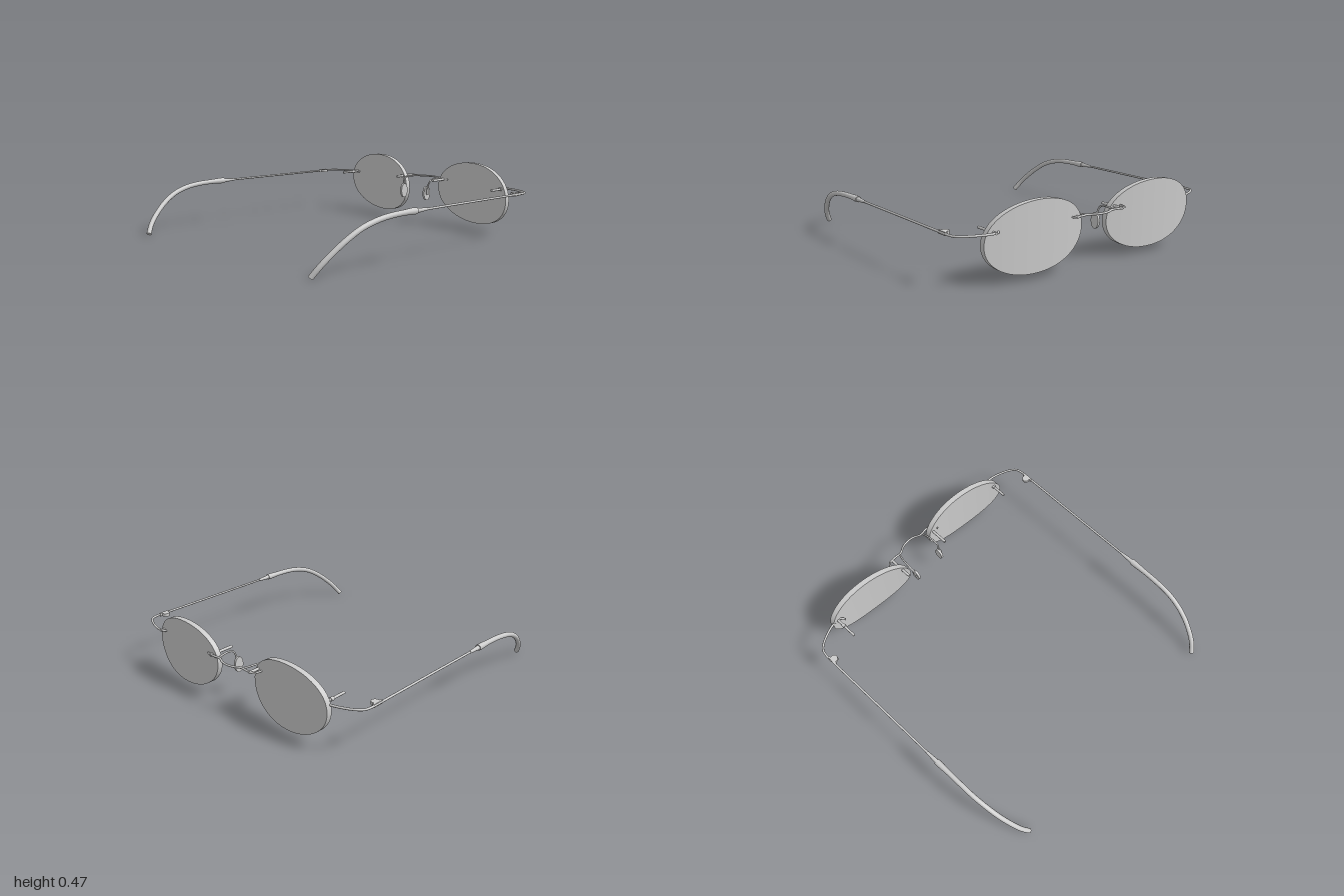
import * as THREE from 'three';
import { mergeGeometries, toCreasedNormals } from 'three/addons/utils/BufferGeometryUtils.js';

const material = new THREE.MeshStandardMaterial({ color: 0xcccccc });

function part(name, geometry, parent) {
  const mesh = new THREE.Mesh(geometry, material);
  mesh.name = name;
  parent.add(mesh);
  return mesh;
}

// Capped round sweep through points; radius is a number or a function of t (0..1)
function sweep(points, radius, segments = 32, sides = 10) {
  const path = new THREE.CatmullRomCurve3(points.map((p) => new THREE.Vector3(...p)), false, 'centripetal');
  const r = typeof radius === 'number' ? () => radius : radius;
  const tube = new THREE.TubeGeometry(path, segments, 1, sides, false);
  const pos = tube.attributes.position;
  const v = new THREE.Vector3();
  for (let i = 0; i <= segments; i++) {
    const centre = path.getPointAt(i / segments);
    for (let j = 0; j <= sides; j++) {
      const k = i * (sides + 1) + j;
      v.fromBufferAttribute(pos, k).sub(centre).multiplyScalar(r(i / segments)).add(centre);
      pos.setXYZ(k, v.x, v.y, v.z);
    }
  }
  const caps = [0, 1].map((t) => {
    const out = path.getTangentAt(t).multiplyScalar(t ? 1 : -1);
    const cap = new THREE.CircleGeometry(r(t), sides);
    cap.applyQuaternion(new THREE.Quaternion().setFromUnitVectors(new THREE.Vector3(0, 0, 1), out));
    const c = path.getPointAt(t);
    return cap.translate(c.x, c.y, c.z);
  });
  return mergeGeometries([tube, ...caps]);
}

// Oval lens bent along x, built as vertical columns
function lensGeometry() {
  const columns = 48, halfWidth = 0.332, thickness = 0.037, n = 2.1;
  const rows = [];
  for (let i = 0; i <= columns; i++) {
    const c = -Math.cos((Math.PI * i) / columns);
    const u = halfWidth * c;
    const mid = 0.262 - 0.06 * u;
    const h = 0.216 * Math.pow(Math.max(0, 1 - Math.pow(Math.abs(c), n)), 1 / n);
    const back = -0.955 + 0.25 * (u + 0.2) ** 2;
    const front = back + thickness;
    // Corners run counter-clockwise seen from -x
    rows.push([[u, mid - h, back], [u, mid - h, front], [u, mid + h, front], [u, mid + h, back]]);
  }
  const data = [];
  for (let i = 0; i < columns; i++) {
    for (let k = 0; k < 4; k++) {
      const m = (k + 1) % 4;
      const a = rows[i][k], b = rows[i + 1][k], c = rows[i + 1][m], d = rows[i][m];
      data.push(...a, ...b, ...c, ...a, ...c, ...d);
    }
  }
  const g = new THREE.BufferGeometry();
  g.setAttribute('position', new THREE.Float32BufferAttribute(data, 3));
  return toCreasedNormals(g, 0.6);
}

export function createModel() {
  const model = new THREE.Group();
  model.name = 'eyeglasses';

  // Lenses: same shape on both sides
  for (const [name, x] of [['rightLens', -0.46], ['leftLens', 0.468]]) {
    part(name, lensGeometry(), model).position.x = x;
  }

  // Arched bridge wire
  part('bridge', sweep([
    [-0.2, 0.338, -0.962], [-0.15, 0.338, -0.966], [-0.1, 0.338, -0.962], [-0.05, 0.338, -0.985], [0, 0.338, -0.993],
    [0.05, 0.338, -0.985], [0.1, 0.338, -0.962], [0.15, 0.338, -0.966], [0.2, 0.338, -0.962],
  ], 0.007, 48), model);

  for (const s of [1, -1]) {
    const side = new THREE.Group();
    side.name = s > 0 ? 'leftSide' : 'rightSide';
    model.add(side);
    const mirror = (pts) => pts.map(([x, y, z]) => [s * x, y, z]);

    // Inner pin and clip hooking over the lens edge
    part('bridgePin', sweep(mirror([[0.18, 0.336, -0.97], [0.18, 0.336, -0.795]]), 0.0095, 1), side);
    part('bridgeClip', sweep(mirror([
      [0.18, 0.338, -0.966], [0.207, 0.338, -0.962], [0.217, 0.338, -0.945], [0.22, 0.338, -0.91],
    ]), 0.006, 16), side);

    // Nose pad with its arm and mount
    part('padArm', sweep(mirror([
      [0.11, 0.338, -0.962], [0.122, 0.338, -0.92], [0.13, 0.337, -0.86],
      [0.13, 0.325, -0.825], [0.122, 0.28, -0.808], [0.124, 0.245, -0.804],
    ]), 0.006, 28), side);
    const mount = part('padMount', new THREE.BoxGeometry(0.014, 0.05, 0.022), side);
    mount.position.set(s * 0.125, 0.25, -0.803);
    const pad = part('nosePad', new THREE.CylinderGeometry(1, 1, 0.016, 28), side);
    pad.geometry.rotateZ(Math.PI / 2).scale(1, 0.053, 0.033);
    pad.geometry.computeVertexNormals();
    pad.geometry = toCreasedNormals(pad.geometry, 0.6);
    pad.position.set(s * 0.114, 0.235, -0.802);

    // Outer pin through the lens
    part('templePin', sweep(mirror([[0.745, 0.322, -0.93], [0.745, 0.322, -0.755]]), 0.0085, 1), side);
    const head = part('pinHead', new THREE.CylinderGeometry(0.013, 0.013, 0.025, 12), side);
    head.rotation.x = Math.PI / 2;
    head.position.set(s * 0.745, 0.322, -0.86);

    // Temple wire: hook at the lens, rounded corner, long straight arm
    part('templeWire', sweep(mirror([
      [0.705, 0.322, -0.885], [0.717, 0.322, -0.908], [0.745, 0.322, -0.921], [0.8, 0.322, -0.916],
      [0.87, 0.322, -0.893], [0.93, 0.322, -0.862], [0.962, 0.322, -0.832], [0.973, 0.322, -0.79],
      [0.974, 0.322, -0.7], [0.974, 0.322, -0.3], [0.975, 0.322, 0.22],
    ]), 0.0075, 90), side);

    // Hinge knuckle on the inner face of the arm
    const hinge = part('hinge', new THREE.CylinderGeometry(0.025, 0.025, 0.022, 18), side);
    hinge.position.set(s * 0.953, 0.322, -0.73);
    const plate = part('hingePlate', new THREE.BoxGeometry(0.014, 0.022, 0.075), side);
    plate.position.set(s * 0.97, 0.322, -0.73);

    // Tapered sleeve, then curved ear tip
    part('tipSleeve', sweep(mirror([[0.975, 0.322, 0.175], [0.975, 0.322, 0.28]]), (t) => 0.009 + 0.007 * t, 4, 14), side);
    part('earTip', sweep(mirror([
      [0.975, 0.322, 0.268], [0.975, 0.322, 0.35], [0.975, 0.317, 0.48], [0.973, 0.302, 0.59],
      [0.962, 0.268, 0.7], [0.943, 0.21, 0.8], [0.912, 0.13, 0.895], [0.888, 0.075, 0.945], [0.858, 0.017, 0.983],
    ]), (t) => 0.017 + 0.004 * Math.exp(-(((t - 0.03) / 0.06) ** 2)), 56, 16), side);
  }
  return model;
}
